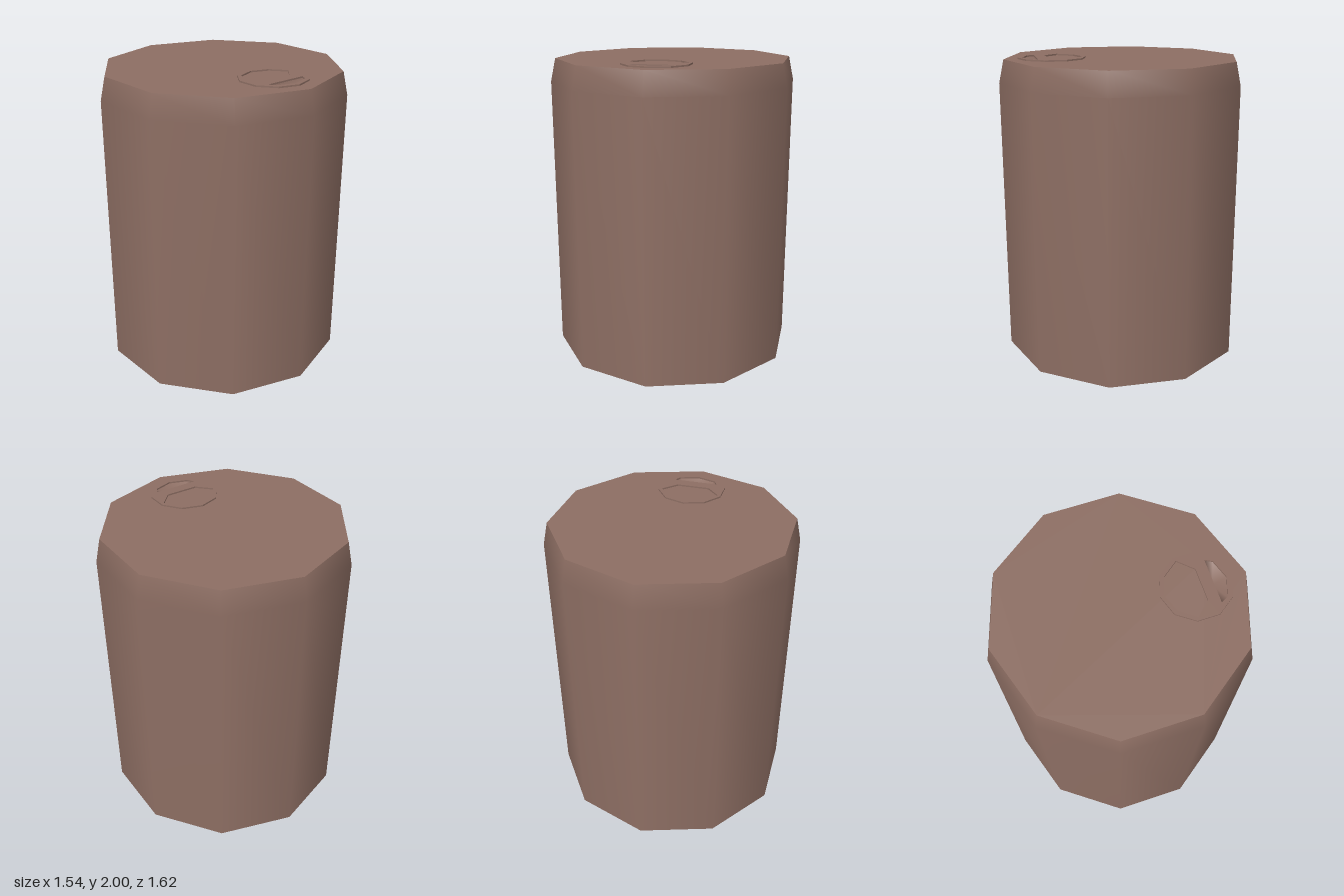
import * as THREE from 'three';

const LID_Y = 1.99;
const flip = ([x, z]) => new THREE.Vector2(x, -z);

// Ten-sided ring with a corner facing the front, as [x, z] pairs
function decagon(radius, cz = 0) {
  return Array.from({ length: 10 }, (_, i) => {
    const a = (i / 10) * Math.PI * 2;
    return [Math.sin(a) * radius, cz + Math.cos(a) * radius];
  });
}

// Horizontal outline with holes, drawn in x and z
function outline(points, ...holes) {
  const shape = new THREE.Shape(points.map(flip));
  for (const h of holes) shape.holes.push(new THREE.Path(h.map(flip)));
  return shape;
}

export function createModel() {
  const model = new THREE.Group();
  const brown = new THREE.MeshStandardMaterial({ color: 0x8d6e63 });
  brown.name = 'brown';

  const add = (name, geometry) => {
    const mesh = new THREE.Mesh(geometry, brown);
    mesh.name = name;
    model.add(mesh);
    return mesh;
  };

  // Smooth-shaded wall with a tapered shoulder
  const profile = [[0.81, 0], [0.81, 1.84], [0.777, LID_Y]].map(p => new THREE.Vector2(...p));
  add('wall', new THREE.LatheGeometry(profile, 10));

  // Base
  add('base', new THREE.ShapeGeometry(outline(decagon(0.81))).rotateX(Math.PI / 2));

  // Lid with the pouring slot cut out
  const slot = [[-0.145, 0.57], [-0.12, 0.615], [0, 0.655], [0.12, 0.615], [0.145, 0.57]];
  add('lid', new THREE.ShapeGeometry(outline(decagon(0.777), slot)).rotateX(-Math.PI / 2))
    .position.y = LID_Y;

  // Pull tab with a finger hole and the slot
  const finger = [[0, 0.27], [0.115, 0.31], [0.19, 0.41], [0.105, 0.5],
    [-0.105, 0.5], [-0.19, 0.41], [-0.115, 0.31]];
  const tab = new THREE.ExtrudeGeometry(outline(decagon(0.221, 0.466), finger, slot),
    { depth: 0.01, bevelEnabled: false });
  add('pullTab', tab.rotateX(-Math.PI / 2)).position.y = LID_Y;

  // Recess below the slot: faces fan out from one low point at its back edge
  const points = [0, LID_Y - 0.05, 0.572];
  const faces = [];
  slot.forEach(([x, z], i) => {
    points.push(x, LID_Y, z);
    faces.push(0, 1 + i, 1 + ((i + 1) % slot.length));
  });
  const recess = new THREE.BufferGeometry();
  recess.setAttribute('position', new THREE.Float32BufferAttribute(points, 3));
  recess.setIndex(faces);
  recess.computeVertexNormals();
  add('slotRecess', recess);

  return model;
}
